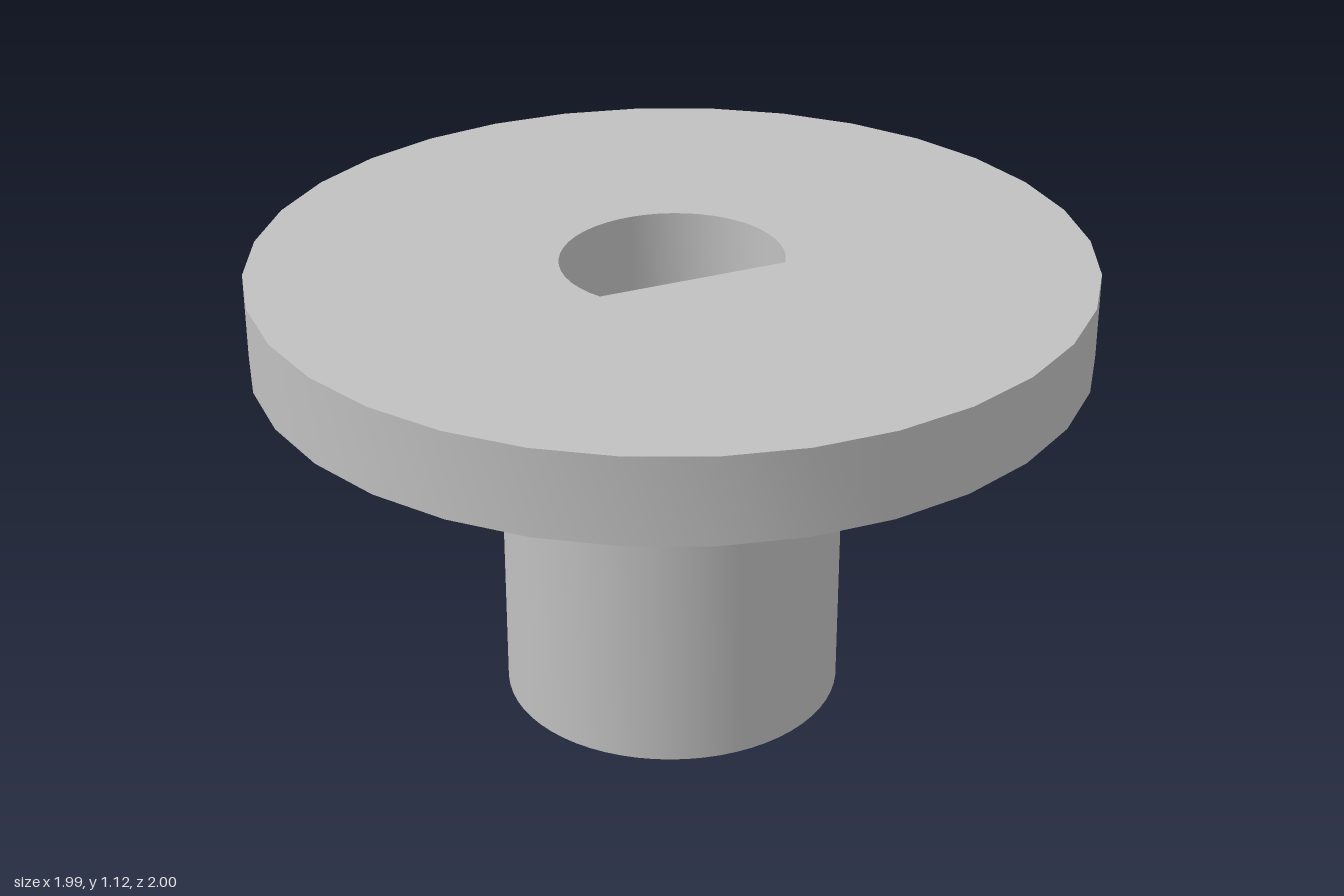
import * as THREE from 'three';
import { toCreasedNormals } from 'three/addons/utils/BufferGeometryUtils.js';

// Points along an ellipse, angles in degrees
function arc(rx, rz, from, to, steps, closed) {
  const points = [];
  const count = closed ? steps : steps + 1;
  for (let i = 0; i < count; i++) {
    const a = THREE.MathUtils.degToRad(from + ((to - from) * i) / steps);
    points.push(new THREE.Vector2(rx * Math.cos(a), rz * Math.sin(a)));
  }
  return points;
}

// Round plate or barrel pierced by the D-shaped bore, standing from y0 to y1
function boredCylinder(name, rx, rz, sides, y0, y1, material) {
  const shape = new THREE.Shape(arc(rx, rz, 0, 360, sides, true));
  // The bore's flat is the chord that closes the arc
  shape.holes.push(new THREE.Path(arc(0.263, 0.273, 22, 261, 32, false)));
  const geometry = new THREE.ExtrudeGeometry(shape, { depth: y1 - y0, bevelEnabled: false });
  geometry.rotateX(-Math.PI / 2);
  geometry.translate(0, y0, 0);
  const mesh = new THREE.Mesh(toCreasedNormals(geometry, Math.PI / 6), material);
  mesh.name = name;
  return mesh;
}

export function createModel() {
  const group = new THREE.Group();
  group.name = 'flangedBushing';
  const grey = new THREE.MeshStandardMaterial({ color: 0xc0c0c0 });
  grey.name = 'light grey';

  group.add(boredCylinder('barrel', 0.412, 0.418, 64, 0, 0.918, grey));
  group.add(boredCylinder('flange', 0.993, 1, 32, 0.918, 1.125, grey));
  return group;
}
